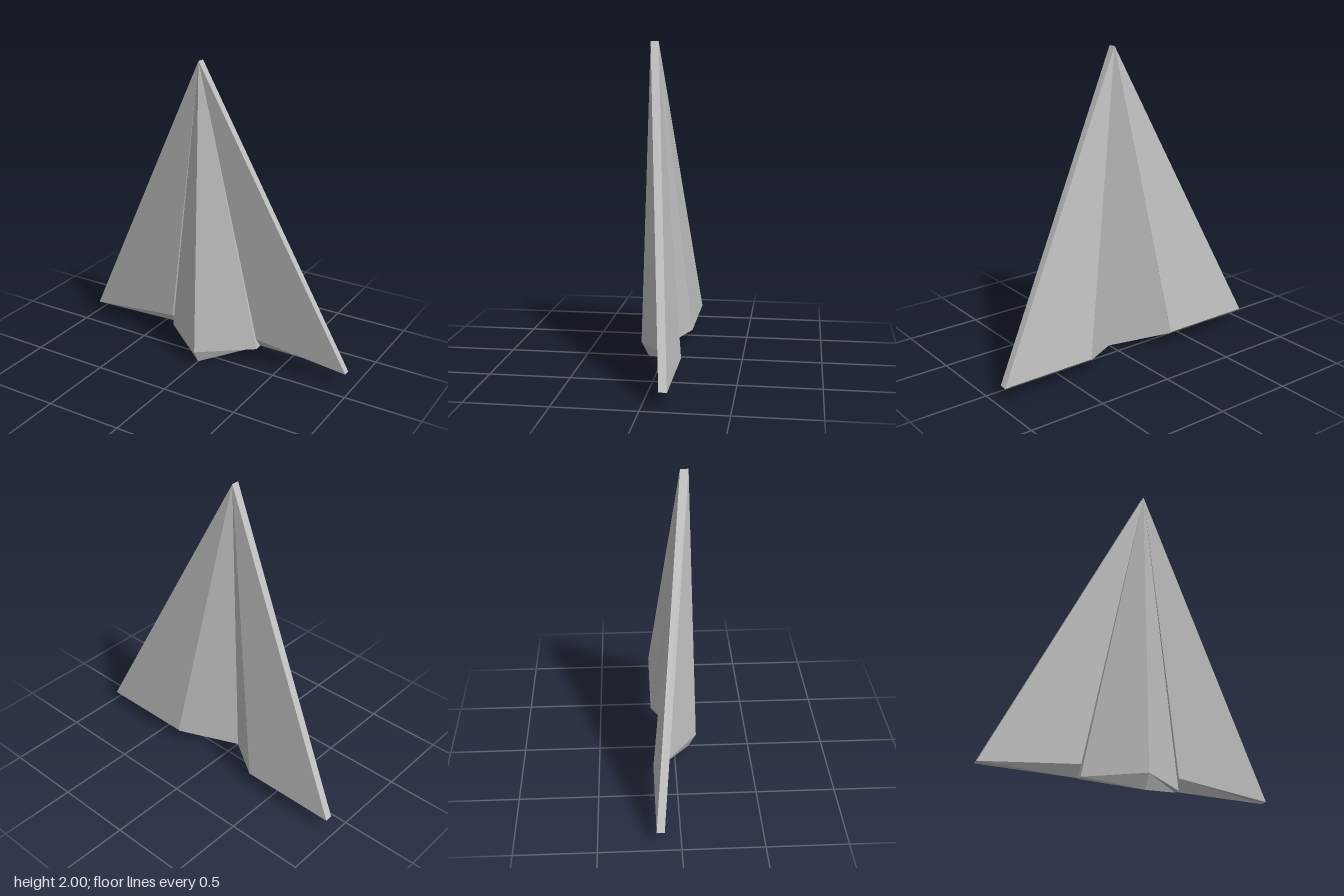
import * as THREE from 'three';

const paper = new THREE.MeshStandardMaterial({ color: 0xc0c0c0 });
paper.name = 'grey paper';

// Folded sheet: matching front and back outlines, counter-clockwise from the front.
// Faces fan out from the first point and the rim is closed with quads.
function sheet(name, front, back) {
  const pos = [];
  const tri = (a, b, c) => pos.push(...a, ...b, ...c);
  const n = front.length;
  for (let i = 1; i < n - 1; i++) {
    tri(front[0], front[i], front[i + 1]);
    tri(back[0], back[i + 1], back[i]);
  }
  for (let i = 0; i < n; i++) {
    const j = (i + 1) % n;
    tri(front[i], back[i], back[j]);
    tri(front[i], back[j], front[j]);
  }
  const geo = new THREE.BufferGeometry();
  geo.setAttribute('position', new THREE.Float32BufferAttribute(pos, 3));
  geo.computeVertexNormals();
  const mesh = new THREE.Mesh(geo, paper);
  mesh.name = name;
  return mesh;
}

// Mirror an outline across x = 0, keeping it counter-clockwise
const mirror = (pts) => pts.map(([x, y, z]) => [-x, y, z]).reverse();

export function createModel() {
  const model = new THREE.Group();
  model.name = 'paperPlane';

  const noseFront = [0, 2, 0.085];
  const noseBack = [0, 2, 0.035];

  // V-shaped keel with an open valley behind and a pointed tail
  model.add(sheet('keel',
    [noseFront, [-0.325, 0.09, -0.1], [0, 0.09, 0.148], [0.325, 0.09, -0.1]],
    [noseBack, [-0.325, 0.09, -0.148], [0, 0, 0.1], [0.325, 0.09, -0.148]]));

  // Swept wings with a bevelled trailing edge
  const wingFront = [noseFront, [0.325, 0.165, -0.093], [0.955, 0.097, -0.1]];
  const wingBack = [noseBack, [0.325, 0.095, -0.148], [0.955, 0.095, -0.148]];
  model.add(sheet('leftWing', wingFront, wingBack));
  model.add(sheet('rightWing', mirror(wingFront), mirror(wingBack)));

  return model;
}
